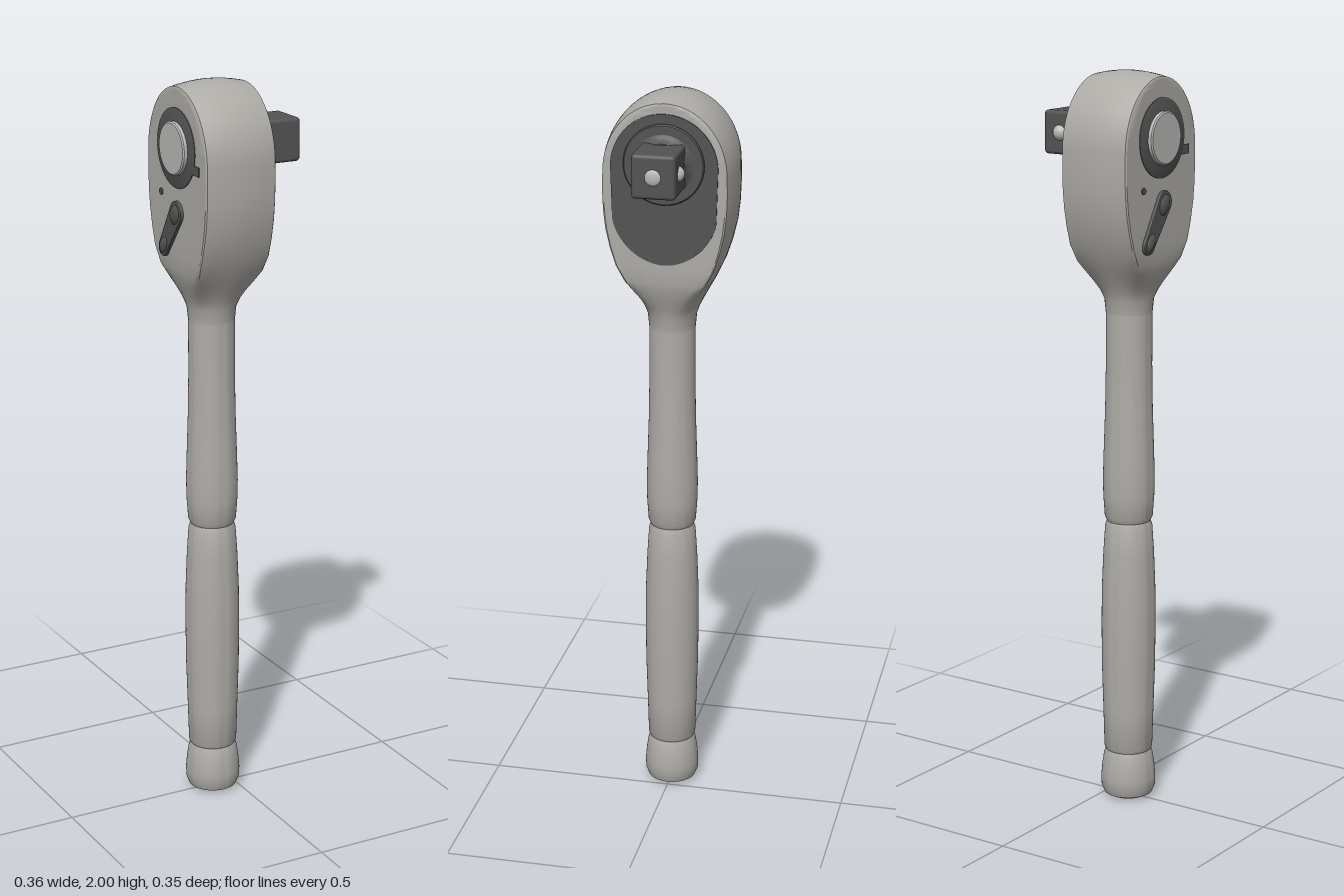
import * as THREE from 'three';
import { toCreasedNormals } from 'three/addons/utils/BufferGeometryUtils.js';
import { RoundedBoxGeometry } from 'three/addons/geometries/RoundedBoxGeometry.js';

const AXIS = -0.062;   // x of the handle axis
const DRIVE_Y = 1.83;  // height of the drive axis

const steel = new THREE.MeshStandardMaterial({ color: 0xaeaca7 });
steel.name = 'brushed steel';
const dark = new THREE.MeshStandardMaterial({ color: 0x535353 });
dark.name = 'dark steel';
const bright = new THREE.MeshStandardMaterial({ color: 0xb9b9b6 });
bright.name = 'bright steel';

function lathe(points, segments = 48) {
  const v = points.map(([r, y]) => new THREE.Vector2(r, y));
  return toCreasedNormals(new THREE.LatheGeometry(v, segments), 0.6);
}

// Round part turned about the x axis; profile is [radius, x]
function turnedX(points) {
  return lathe(points).rotateZ(-Math.PI / 2);
}

// Ratchet head: sections stacked in y, morphing from a circle to a barrel-sided box
function headGeometry() {
  // [y, half width, half depth, boxiness]
  const rows = [
    [1.36, 0.062, 0.062, 0], [1.40, 0.066, 0.066, 0], [1.425, 0.075, 0.074, 0.15],
    [1.45, 0.088, 0.084, 0.35], [1.48, 0.104, 0.094, 0.65], [1.505, 0.118, 0.1, 0.85],
    [1.55, 0.139, 0.101, 1], [1.6, 0.156, 0.101, 1], [1.65, 0.168, 0.101, 1],
    [1.7, 0.174, 0.101, 1], [1.75, 0.176, 0.101, 1],
  ];
  for (let i = 0; i <= 16; i++) {
    const a = (i / 16) * Math.PI / 2;
    rows.push([1.8 + 0.2 * Math.sin(a), 0.175 * Math.cos(a), 0.101, 1]);
  }
  const quarter = [[1, 0], [1, 0.4], [1, 0.75], [1, 0.915], [0.97, 0.94],
    [0.7, 0.968], [0.45, 0.987], [0.2, 0.997], [0, 1]];
  const n = 32, pos = [], index = [];
  rows.forEach(([y, w, d, m]) => {
    for (let j = 0; j < n; j++) {
      const k = j % 16, q = quarter[k <= 8 ? k : 16 - k];
      const a = (j / n) * Math.PI * 2, c = Math.cos(a), s = Math.sin(a);
      const X = THREE.MathUtils.lerp(c, q[0] * Math.sign(Math.round(c * 1e6)), m);
      const Z = THREE.MathUtils.lerp(s, q[1] * Math.sign(Math.round(s * 1e6)), m);
      const crown = y > 1.8 ? Math.max(q[1], 0.915) : 1;
      pos.push(AXIS + d * X, 1.8 + (y - 1.8) * crown, w * Z);
    }
  });
  for (let i = 0; i < rows.length - 1; i++) {
    for (let j = 0; j < n; j++) {
      const a = i * n + j, b = i * n + (j + 1) % n;
      index.push(a, a + n, b, b, a + n, b + n);
    }
  }
  const g = new THREE.BufferGeometry();
  g.setAttribute('position', new THREE.Float32BufferAttribute(pos, 3));
  g.setIndex(index);
  return toCreasedNormals(g.toNonIndexed(), 0.6);
}

// Dark cover plate outline in the z-y plane
function coverShape() {
  const s = new THREE.Shape();
  s.moveTo(0.142, 1.82);
  s.absarc(0, 1.82, 0.142, 0, Math.PI, false);
  s.lineTo(-0.138, 1.68);
  s.bezierCurveTo(-0.125, 1.61, -0.06, 1.56, 0, 1.56);
  s.bezierCurveTo(0.06, 1.56, 0.125, 1.61, 0.138, 1.68);
  s.closePath();
  return s;
}

export function createModel() {
  const model = new THREE.Group();
  const add = (name, geometry, material, x = 0, y = 0, z = 0, parent = model) => {
    const mesh = new THREE.Mesh(geometry, material);
    mesh.name = name;
    mesh.position.set(x, y, z);
    parent.add(mesh);
    return mesh;
  };

  // Handle: end knob, grip and shaft
  add('endKnob', lathe([[0, 0], [0.05, 0.002], [0.066, 0.01], [0.074, 0.03], [0.075, 0.055],
    [0.072, 0.09], [0.067, 0.122], [0.062, 0.136]]), steel, AXIS);
  add('grip', lathe([[0.062, 0.136], [0.066, 0.144], [0.069, 0.25], [0.073, 0.38], [0.074, 0.5],
    [0.073, 0.6], [0.069, 0.7], [0.064, 0.775], [0.059, 0.79]]), steel, AXIS);
  add('shaft', lathe([[0.059, 0.79], [0.065, 0.803], [0.069, 0.86], [0.07, 0.91], [0.068, 0.98],
    [0.064, 1.1], [0.062, 1.22], [0.062, 1.37]]), steel, AXIS);

  // Head
  add('head', headGeometry(), steel);

  // Drive side
  const cover = new THREE.ExtrudeGeometry(coverShape(),
    { depth: 0.005, bevelEnabled: false, curveSegments: 24 });
  add('coverPlate', cover.rotateY(Math.PI / 2), dark, 0.0375);
  add('driveCollar', turnedX([[0.107, 0], [0.107, 0.009], [0.104, 0.012], [0, 0.012]]),
    dark, 0.038, DRIVE_Y);
  add('driveFillet', turnedX([[0.083, 0], [0.073, 0.004], [0.067, 0.009], [0.061, 0.02], [0, 0.022]]),
    dark, 0.049, DRIVE_Y);
  add('squareDrive', new RoundedBoxGeometry(0.135, 0.116, 0.116, 3, 0.01), dark, 0.1055, DRIVE_Y);
  const ball = new THREE.SphereGeometry(0.022, 24, 16);
  add('detentBall', ball, bright, 0.122, DRIVE_Y, -0.05);
  add('releasePin', ball.clone().scale(0.35, 1, 1), bright, 0.171, DRIVE_Y, 0);

  // Button side
  const faceX = -0.163;
  const mirrorTurned = (points) => turnedX(points).rotateY(Math.PI);
  add('buttonRing', mirrorTurned([[0.105, 0], [0.105, 0.002], [0.1, 0.004], [0, 0.004]]),
    dark, faceX, DRIVE_Y);
  add('releaseButton', mirrorTurned([[0.07, 0], [0.07, 0.013], [0.066, 0.016], [0, 0.016]]),
    bright, faceX, DRIVE_Y);
  add('ringNotch', new THREE.BoxGeometry(0.005, 0.025, 0.045), dark, faceX, 1.79, 0.105);
  add('lockPin', mirrorTurned([[0.009, 0], [0.009, 0.003], [0, 0.003]]), dark, faceX, 1.7, -0.085);

  // Direction lever: tapered bar with a raised pivot and thumb tip
  const lever = new THREE.Group();
  lever.name = 'directionLever';
  lever.position.set(faceX, 1.608, -0.03);
  lever.rotation.x = 0.6;
  const bar = new THREE.Shape();
  bar.absarc(0, 0.065, 0.028, 0, Math.PI, false);
  bar.absarc(0, -0.065, 0.02, Math.PI, Math.PI * 2, false);
  bar.closePath();
  const barGeometry = new THREE.ExtrudeGeometry(bar,
    { depth: 0.006, bevelThickness: 0.003, bevelSize: 0.003, bevelSegments: 2, curveSegments: 16 });
  add('leverBar', barGeometry.rotateY(-Math.PI / 2), dark, 0, 0, 0, lever);
  [['leverPivot', 0.058, 0.026, 0.034], ['leverTip', -0.055, 0.02, 0.032]].forEach(([name, y, rz, ry]) => {
    add(name, new THREE.SphereGeometry(1, 24, 16).scale(0.017, ry, rz), dark, 0, y, 0, lever);
  });
  model.add(lever);

  return model;
}
